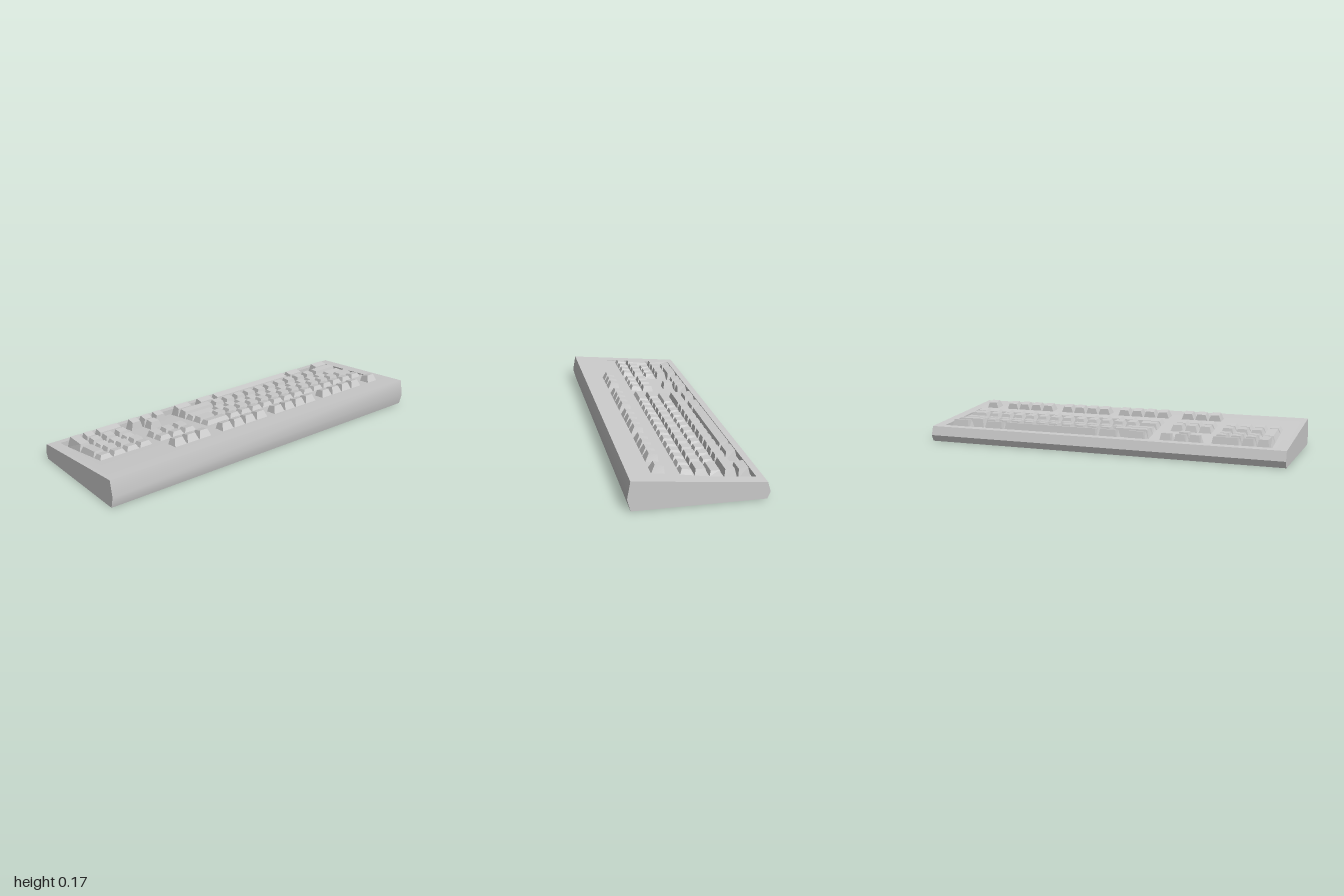
import * as THREE from 'three';
import { toCreasedNormals } from 'three/addons/utils/BufferGeometryUtils.js';

const material = new THREE.MeshStandardMaterial({ color: 0xcccccc });
const U = 0.0777; // key pitch
const GAP = 0.007;

// Height of the sloping case top and of the recessed key bed
const caseTop = z => 0.116 + z * 0.0963;
const BED = { x: 0.94, back: 0.14, front: -0.285, drop: 0.029 };
const bedY = z => z > BED.back ? caseTop(z) : caseTop(z) - BED.drop * (BED.back - z) / (BED.back - BED.front);

// Mesh from convex polygons given as lists of [x, y, z] corners
function polyMesh(name, polys, crease = 0.1) {
  const pos = [];
  for (const p of polys)
    for (let i = 1; i < p.length - 1; i++) pos.push(...p[0], ...p[i], ...p[i + 1]);
  const geo = new THREE.BufferGeometry();
  geo.setAttribute('position', new THREE.Float32BufferAttribute(pos, 3));
  geo.computeVertexNormals();
  const mesh = new THREE.Mesh(toCreasedNormals(geo, crease), material);
  mesh.name = name;
  return mesh;
}

// Quads joining two loops of four corners
const bridge = (a, b) => a.map((p, i) => {
  const j = (i + 1) % a.length;
  return [p, a[j], b[j], b[i]];
});

// Rectangle loop seen from above, with height by z
const rect = (x0, x1, back, front, y) =>
  [[x0, y(back), back], [x1, y(back), back], [x1, y(front), front], [x0, y(front), front]];

function makeCase() {
  const zy = [[0.322, 0], [-0.322, 0], [-0.337, 0.035], [-0.322, caseTop(-0.322)], [0.322, caseTop(0.322)], [0.338, 0.06]];
  const at = x => zy.map(([z, y]) => [x, y, z]);
  const left = at(1), right = at(-1);
  const polys = [left, [...right].reverse()];
  zy.forEach((_, i) => {
    const j = (i + 1) % 6;
    if (i !== 3) polys.push([left[i], right[i], right[j], left[j]]);
  });
  // Top frame around the key bed, the bed floor and its walls
  const outer = rect(-1, 1, 0.322, -0.322, caseTop);
  const rim = rect(-BED.x, BED.x, BED.back, BED.front, caseTop);
  const floor = rect(-BED.x, BED.x, BED.back, BED.front, bedY);
  polys.push(...bridge(outer, rim), floor);
  polys.push([floor[3], floor[2], rim[2], rim[3]], [rim[1], rim[2], floor[2]], [rim[0], floor[3], rim[3]]);
  return polyMesh('case', polys, 0.6);
}

// Key row profiles: base [back z, front z], top back [z, y], top front [z, y]
const ROWS = {
  function: { base: [0.209, 0.145], back: [0.190, 0.173], front: [0.147, 0.162] },
  number: { base: [0.073, 0.012], back: [0.062, 0.141], front: [0.018, 0.133] },
  upper: { base: [0.003, -0.060], back: [-0.004, 0.134], front: [-0.051, 0.131] },
  home: { base: [-0.068, -0.131], back: [-0.076, 0.118], front: [-0.120, 0.118] },
  lower: { base: [-0.139, -0.202], back: [-0.147, 0.120], front: [-0.192, 0.120] },
  bottom: { base: [-0.207, -0.270], back: [-0.213, 0.115], front: [-0.258, 0.121] },
};

// One tapered keycap; start and width in key units from the block's left edge
function makeKey(name, edge, start, width, backRow, frontRow = backRow) {
  const b = ROWS[backRow], f = ROWS[frontRow];
  const x1 = edge - start * U - GAP / 2, x0 = edge - (start + width) * U + GAP / 2;
  const base = rect(x0, x1, b.base[0], f.base[1], bedY);
  const top = rect(x0 + 0.012, x1 - 0.012, b.back[0], f.front[0], z => z === b.back[0] ? b.back[1] : f.front[1]);
  return polyMesh(name, [...bridge(base, top), top]);
}

export function createModel() {
  const model = new THREE.Group();
  model.name = 'keyboard';
  model.add(makeCase());

  const block = (name, edge) => {
    const g = new THREE.Group();
    g.name = name;
    model.add(g);
    return {
      key: (keyName, ...args) => g.add(makeKey(keyName, edge, ...args)),
      run: (row, start, count) => {
        for (let i = 0; i < count; i++) g.add(makeKey(row + 'RowKey', edge, start + i, 1, row));
      },
    };
  };

  // Function keys in groups of four after the escape key
  const main = block('mainKeys', 0.912);
  main.run('function', 0, 1);
  for (const start of [1.75, 6.4, 11]) main.run('function', start, 4);

  // Typing rows: wide key, single keys, wide key
  main.run('number', 0, 13);
  main.key('backspaceKey', 13, 2, 'number');
  for (const [row, first, count] of [['upper', 1.5, 12], ['home', 1.75, 11], ['lower', 2.25, 10]]) {
    main.key(row + 'RowLeftKey', 0, first, row);
    main.run(row, first, count);
    main.key(row + 'RowRightKey', first + count, 15 - first - count, row);
  }
  for (const start of [0, 2.75, 11.5, 13.5]) main.key('modifierKey', start, 1.5, 'bottom');
  main.key('spaceBar', 4.25, 7.25, 'bottom');

  // Navigation keys and arrows
  const nav = block('navigationKeys', -0.323);
  for (const row of ['function', 'number', 'upper', 'bottom']) nav.run(row, 0, 3);
  nav.run('lower', 1, 1);

  // Number pad with two tall keys and a wide zero
  const pad = block('numberPad', -0.600);
  pad.run('number', 0, 4);
  for (const row of ['upper', 'home', 'lower']) pad.run(row, 0, 3);
  pad.key('zeroKey', 0, 2, 'bottom');
  pad.run('bottom', 2, 1);
  pad.key('plusKey', 3, 1, 'upper', 'home');
  pad.key('enterKey', 3, 1, 'lower', 'bottom');

  return model;
}
